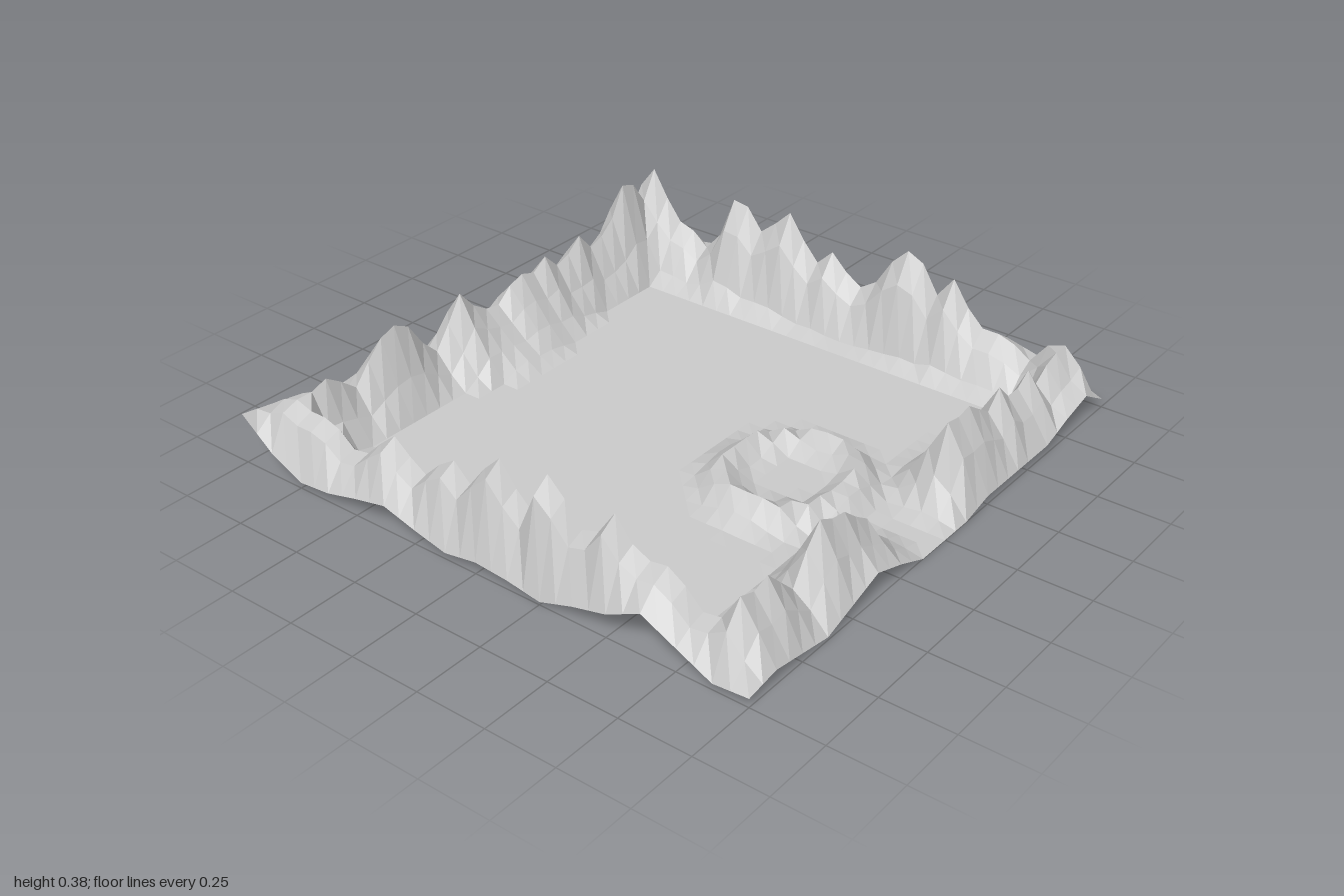
import * as THREE from 'three';

const N = 32; // cells per side
const CELL = 2 / N;

// Each side runs in order of rising x (back, front) or rising z (west, east).
// crest: ridge heights; border: heights of the outer edge;
// reach: cells from the edge to the plain; slope: share of the crest height going inwards
const sides = {
  back: {
    crest: [.1, .3, .38, .28, .2, .18, .13, .2, .36, .35, .27, .32, .38, .29, .22, .28, .22, .18, .22, .32, .38, .35, .25, .33, .24, .18, .18, .16, .12, .2, .22, .16, .1],
    border: [.03, .09, .1, .12, .13, .13, .14, .08, .11, .13, .14, .14, .14, .14, .11, .08, .03],
    reach: [4, 4, 4, 3.4, 3.2, 3.2, 3.6, 4, 4],
    slope: [0, 1, .72, .22, 0],
  },
  front: {
    crest: [.2, .2, .22, .2, .2, .18, .13, .14, .2, .25, .2, .16, .22, .26, .2, .28, .34, .26, .2, .36, .3, .22, .24, .33, .25, .22, .23, .19, .13, .14, .18, .1, .05],
    border: [.18, .08, .02, .03, .06, .085, .05, .02, .04, .03, .01, .05, .08, .14, .08, .02, .03],
    reach: [5, 5, 4, 4.8, 4, 4, 3.6, 4, 5],
    slope: [0, .88, 1, .42, .08, 0],
  },
  west: {
    crest: [.1, .25, .24, .36, .38, .27, .22, .2, .27, .22, .2, .26, .22, .24, .22, .17, .18, .22, .29, .2, .12, .18, .27, .3, .28, .22, .15, .2, .24, .22, .22, .2, .2],
    border: [.03, .05, .02, .03, .03, .03, .02, .03, .04, .05, .07, .08, .1, .1, .14, .16, .18],
    reach: [4, 4, 4, 5, 6, 4, 4, 4, 5],
    slope: [0, .7, 1, .42, 0],
  },
  east: {
    crest: [.05, .15, .22, .2, .16, .24, .2, .2, .26, .2, .24, .28, .27, .28, .12, .02, 0, 0, .02, .07, .16, .2, .25, .26, .29, .22, .12, .18, .24, .22, .24, .12, .03],
    border: [.03, .1, .07, .03, .03, .03, .03, 0, 0, 0, .05, .09, .05, .01, .03, .05, .03],
    reach: [4, 4, 5, 5.3, 4.5, 5.2, 5, 4.5, 4],
    slope: [0, .62, 1, .58, .2, 0],
  },
};

// Value of an evenly spaced list at t from 0 to 1
function sample(list, t) {
  const x = THREE.MathUtils.clamp(t, 0, 1) * (list.length - 1);
  const i = Math.min(Math.floor(x), list.length - 2);
  return THREE.MathUtils.lerp(list[i], list[i + 1], x - i);
}

// Ridge height; beyond the crest the slope is stretched to meet the plain at its reach
function ridge({ crest, reach, slope }, along, depth) {
  const last = slope.length - 1;
  const d = depth <= 2 ? depth : 2 + (depth - 2) * (last - 2) / (sample(reach, along / N) - 2);
  return crest[along] * sample(slope, d / last);
}

// Low ring-shaped crater on the plain, steeper outside than inside
function crater(x, z) {
  const r = Math.hypot(x - 0.45, (z - 0.04) * 0.95);
  const width = r > 0.21 ? 0.055 : 0.065;
  const rim = 0.08 * Math.exp(-(((r - 0.21) / width) ** 2));
  const bowl = r < 0.2 ? 0.02 : 0;
  return r > 0.32 ? 0 : Math.max(rim, bowl);
}

function heightAt(i, j) {
  const { back, front, west, east } = sides;
  if (j === 0) return sample(back.border, i / N);
  if (j === N) return sample(front.border, i / N);
  if (i === 0) return sample(west.border, j / N);
  if (i === N) return sample(east.border, j / N);
  return Math.max(
    ridge(back, i, j),
    ridge(front, i, N - j),
    ridge(west, j, i),
    ridge(east, j, N - i),
    crater(i * CELL - 1, j * CELL - 1),
  );
}

export function createModel() {
  const group = new THREE.Group();
  group.name = 'craterBasin';

  // One height-field sheet: flat plain, mountain border and crater
  const positions = [];
  const index = [];
  for (let j = 0; j <= N; j++) {
    for (let i = 0; i <= N; i++) {
      positions.push(i * CELL - 1, heightAt(i, j), j * CELL - 1);
      if (i === N || j === N) continue;
      const a = j * (N + 1) + i;
      const b = a + N + 1;
      index.push(a, b, b + 1, a, b + 1, a + 1);
    }
  }
  const geometry = new THREE.BufferGeometry();
  geometry.setAttribute('position', new THREE.Float32BufferAttribute(positions, 3));
  geometry.setIndex(index);
  geometry.computeVertexNormals();

  const terrain = new THREE.Mesh(
    geometry,
    new THREE.MeshStandardMaterial({ color: 0xcccccc, flatShading: true, side: THREE.DoubleSide }),
  );
  terrain.name = 'terrain';
  group.add(terrain);
  return group;
}
